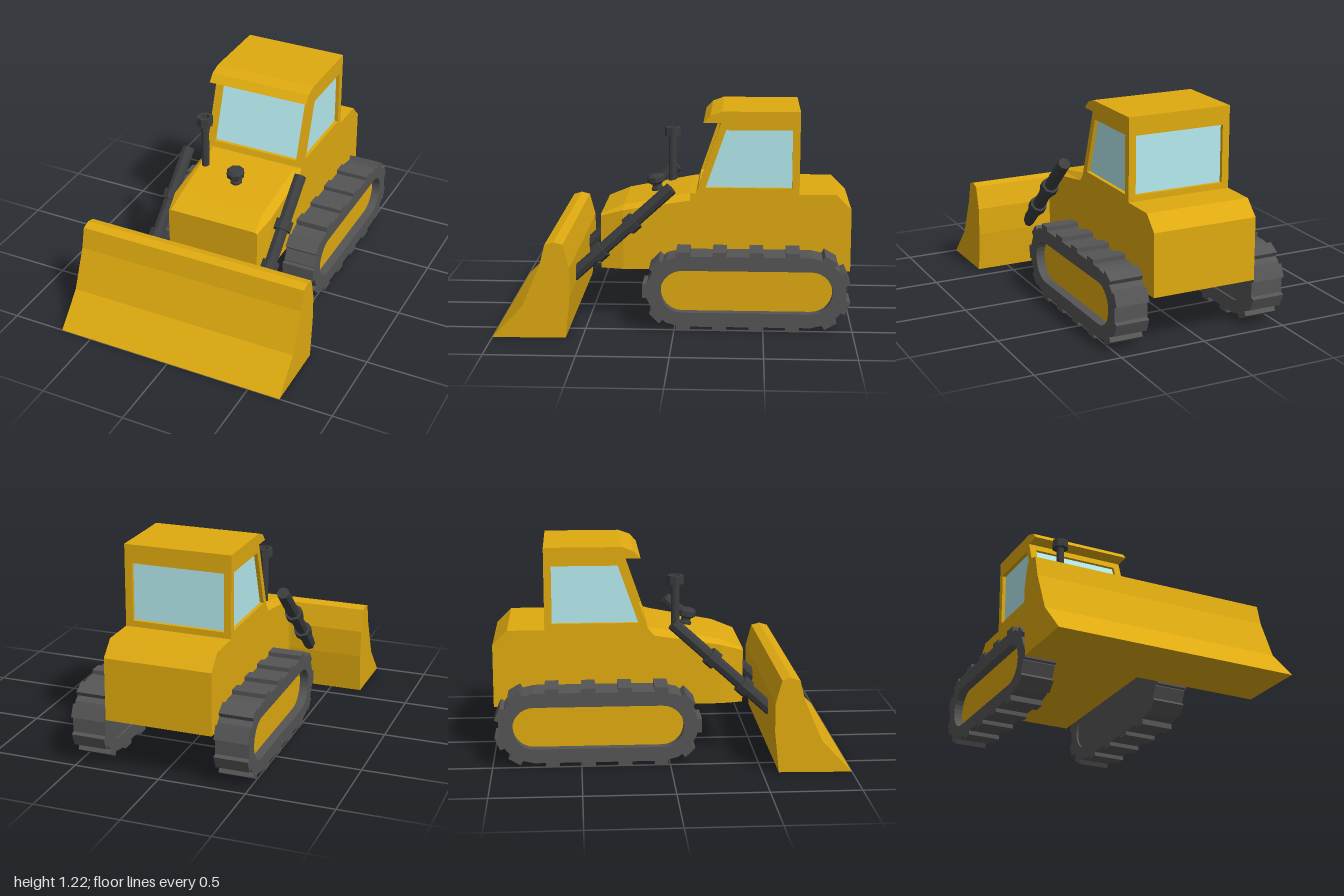
import * as THREE from 'three';

const paint = (color) => new THREE.MeshStandardMaterial({ color, flatShading: true });

export function createModel() {
  const yellow = paint(0xdfaa10), rubber = paint(0x555555), steel = paint(0x3b3d3f), glassBlue = paint(0xb5ebef);
  const darkSteel = steel.clone();
  darkSteel.side = THREE.DoubleSide;
  const model = new THREE.Group();
  model.name = 'bulldozer';

  const add = (parent, name, geometry, material) => {
    const mesh = new THREE.Mesh(geometry, material);
    mesh.name = name;
    parent.add(mesh);
    return mesh;
  };
  const group = (name, parent = model) => {
    const g = new THREE.Group();
    g.name = name;
    parent.add(g);
    return g;
  };
  // Side profile of [z, y] points, extruded across x
  const prism = (points, xa, xb, hole) => {
    const toV = (list) => list.map(([z, y]) => new THREE.Vector2(z, y));
    const shape = new THREE.Shape(toV(points));
    if (hole) shape.holes.push(new THREE.Path(toV(hole)));
    const depth = Math.abs(xb - xa);
    return new THREE.ExtrudeGeometry(shape, { depth, bevelEnabled: false })
      .rotateY(-Math.PI / 2).translate(Math.max(xa, xb), 0, 0);
  };

  // Rear body
  const W = 0.308;
  add(model, 'body', prism([[-0.115, 0.3], [-0.115, 0.745], [-0.91, 0.745], [-0.995, 0.66], [-0.995, 0.3]], -W, W), yellow);

  // Hood lofted from six-sided sections: z, half width, shoulder y, top half width, top y
  const sections = [[0.43, 0.28, 0.605, 0.268, 0.615], [0.3, W, 0.645, 0.258, 0.67],
    [-0.08, W, 0.705, 0.27, 0.742], [-0.115, W, 0.745, 0.27, 0.745]];
  const pos = [], index = [];
  for (const [z, w, sy, tw, ty] of sections)
    for (const [x, y] of [[-w, 0.3], [w, 0.3], [w, sy], [tw, ty], [-tw, ty], [-w, sy]]) pos.push(x, y, z);
  for (let s = 0; s < sections.length - 1; s++)
    for (let i = 0; i < 6; i++) {
      const a = s * 6 + i, b = s * 6 + (i + 1) % 6;
      index.push(a, a + 6, b, b, a + 6, b + 6);
    }
  for (let i = 1; i < 5; i++) index.push(0, i, i + 1);
  let hood = new THREE.BufferGeometry();
  hood.setAttribute('position', new THREE.Float32BufferAttribute(pos, 3));
  hood.setIndex(index);
  hood = hood.toNonIndexed();
  hood.computeVertexNormals();
  add(model, 'hood', hood, yellow);

  // Cab: sill, corner posts and roof around an inset block of glass
  const cab = group('cab');
  const slope = (y) => -0.115 - (y - 0.745) * 0.346;
  const y0 = 0.78, y1 = 1.11, back = -0.7, post = 0.042;
  add(cab, 'sill', prism([[slope(0.74), 0.74], [slope(y0), y0], [back, y0], [back, 0.74]], -W, W), yellow);
  add(cab, 'roof', prism([[slope(y1), y1], [slope(1.15), 1.15], [-0.155, 1.15], [-0.195, 1.192], [-0.26, 1.215],
    [back, 1.215], [back, y1]], -W, W), yellow);
  for (const s of [-1, 1]) {
    add(cab, 'frontPost', prism([[slope(y0), y0], [slope(y1), y1], [slope(y1) - post, y1], [slope(y0) - post, y0]],
      s * (W - post), s * W), yellow);
    add(cab, 'rearPost', prism([[back + post, y0], [back + post, y1], [back, y1], [back, y0]],
      s * (W - post), s * W), yellow);
  }
  const inset = 0.022;
  add(cab, 'windows', prism([[slope(y0) - inset, y0], [slope(y1) - inset, y1], [back + inset, y1], [back + inset, y0]],
    -W + inset, W - inset), glassBlue);

  // Blade
  add(model, 'blade', prism([[1, 0], [0.83, 0.18], [0.73, 0.41], [0.7, 0.53], [0.65, 0.545], [0.6, 0.532],
    [0.565, 0.4], [0.565, 0.24], [0.59, 0.005]], -0.69, 0.69), yellow);

  // Lift rams, each a rod with two tapered collars
  const top = new THREE.Vector3(0, 0.785, 0.022), end = new THREE.Vector3(0, 0.272, 0.585);
  const length = top.distanceTo(end);
  for (const s of [-1, 1]) {
    const ram = group('liftRam');
    ram.position.copy(top).lerp(end, 0.5).setX(s * 0.36);
    ram.quaternion.setFromUnitVectors(new THREE.Vector3(0, 1, 0), top.clone().sub(end).normalize());
    add(ram, 'rod', new THREE.CylinderGeometry(0.037, 0.037, length, 8), steel);
    for (const t of [0.4, 0.725]) {
      const collar = add(ram, 'collar', new THREE.CylinderGeometry(0.053, 0.053, 0.06, 8), steel);
      collar.position.y = length * (0.5 - t);
    }
  }

  // Exhaust pipe with an open cap
  const lathe = (list) => new THREE.LatheGeometry(list.map(([r, y]) => new THREE.Vector2(r, y)), 8);
  const exhaust = add(model, 'exhaust', lathe([[0, 0.69], [0.024, 0.69], [0.024, 0.99], [0.048, 0.99],
    [0.048, 1.04], [0.028, 1.04], [0.022, 0.94], [0, 0.94]]), darkSteel);
  exhaust.position.set(-0.238, 0, 0.045);

  // Air intake, square to the hood
  const intake = add(model, 'airIntake', lathe([[0, -0.03], [0.036, -0.03], [0.036, 0.02], [0.028, 0.025],
    [0.028, 0.04], [0.053, 0.055], [0.053, 0.085], [0.036, 0.1], [0, 0.1]]), darkSteel);
  intake.position.set(0, 0.699, 0.118);
  intake.rotation.x = 0.19;

  // Tracks
  const zf = -0.045, zr = -0.765, yc = 0.228, R = 0.202;
  const stadium = (r, n) => {
    const points = [];
    for (const [z, start] of [[zf, -Math.PI / 2], [zr, Math.PI / 2]])
      for (let i = 0; i <= n; i++) {
        const a = start + Math.PI * i / n;
        points.push([z + r * Math.cos(a), yc + r * Math.sin(a)]);
      }
    return points;
  };
  const half = 0.097;
  for (const [s, x, name] of [[1, 0.425, 'leftTrack'], [-1, -0.411, 'rightTrack']]) {
    const track = group(name);
    track.position.x = x;
    add(track, 'belt', prism(stadium(R, 7), -half, half, stadium(0.121, 14)), rubber);
    add(track, 'outerPlate', prism(stadium(0.124, 14), 0, s * 0.045), yellow);
    add(track, 'innerPlate', prism(stadium(0.124, 14), 0, -s * 0.085), rubber);
    // Grousers along the flats and around the ends
    const lug = (z, y, angle) => {
      const mesh = add(track, 'grouser', new THREE.BoxGeometry(half * 2, 0.045, 0.078), rubber);
      mesh.position.set(0, y, z);
      mesh.rotation.x = angle;
    };
    const mid = R + 0.002;
    for (let i = 0; i < 4; i++)
      for (const v of [-1, 1]) lug(-0.05 - i * 0.2045, yc + v * mid, 0);
    const ends = [[zf, [45, 0, -45]], [zr, [120, 157, 203, 240]]];
    for (const [z, angles] of ends)
      for (const deg of angles) {
        const a = THREE.MathUtils.degToRad(deg), r = R - 0.002;
        lug(z + r * Math.cos(a), yc + r * Math.sin(a), Math.PI / 2 - a);
      }
  }
  return model;
}
